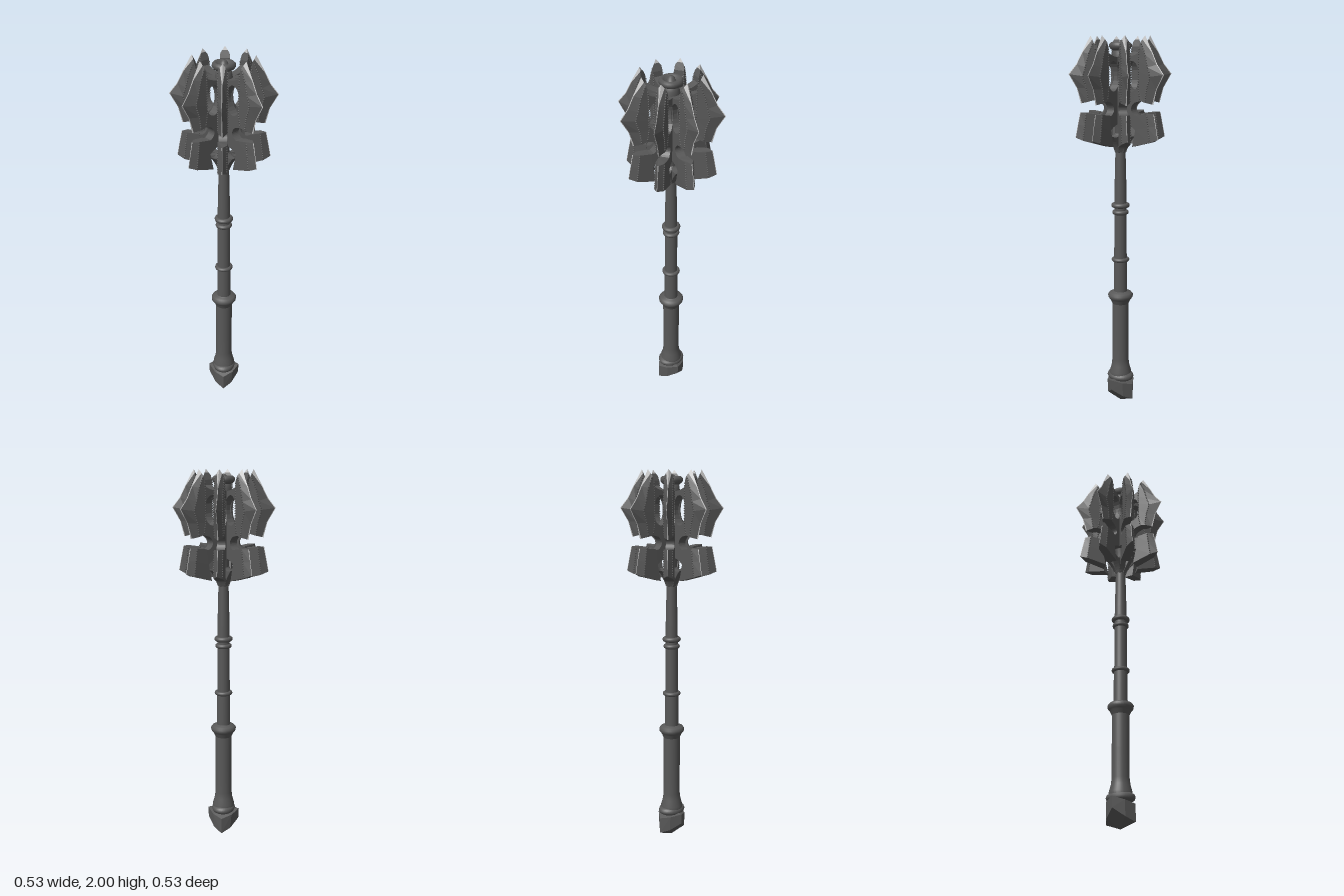
import * as THREE from 'three';
import { mergeGeometries } from 'three/addons/utils/BufferGeometryUtils.js';
import { ConvexGeometry } from 'three/addons/geometries/ConvexGeometry.js';

const FLANGES = 8;

// Each row is [inner, middle, outer] as [radius, height] pairs, listed top to bottom,
// followed by the share of the bevel that is polished edge
const UPPER_BLADE = [
  [[0.132, 1.945], [0.14, 1.968], [0.152, 2.0], 0.6],
  [[0.13, 1.88], [0.165, 1.91], [0.196, 1.92], 0.1],
  [[0.13, 1.83], [0.182, 1.845], [0.226, 1.86], 0.07],
  [[0.13, 1.79], [0.195, 1.80], [0.266, 1.81], 0.06],
  [[0.13, 1.74], [0.178, 1.74], [0.225, 1.74], 0.06],
  [[0.14, 1.68], [0.168, 1.672], [0.205, 1.662], 0.15],
];
const LOWER_BLADE = [
  [[0.122, 1.608], [0.18, 1.615], [0.21, 1.615], 0.1],
  [[0.112, 1.53], [0.188, 1.55], [0.222, 1.555], 0.06],
  [[0.092, 1.445], [0.198, 1.473], [0.235, 1.488], 0.06],
];

// Wedge blade lofted through seven-sided sections; the sharp edge is its own geometry
function bladeGeometries(rows, half) {
  const mid = half * 0.9;
  const rings = rows.map(([a, m, o, share]) => {
    const e = [0, 1].map((i) => o[i] + (m[i] - o[i]) * share);
    return [
      [...a, half], [...m, mid], [...e, mid * share], [...o, 0],
      [...e, -mid * share], [...m, -mid], [...a, -half],
    ];
  });
  const body = [], edge = [];
  const tri = (list, a, b, c) => list.push(...a, ...b, ...c);
  for (let k = 0; k < rings.length - 1; k++) {
    for (let i = 0; i < 7; i++) {
      const j = (i + 1) % 7;
      const list = i === 2 || i === 3 ? edge : body;
      tri(list, rings[k][i], rings[k + 1][i], rings[k + 1][j]);
      tri(list, rings[k][i], rings[k + 1][j], rings[k][j]);
    }
  }
  const top = rings[0], bottom = rings[rings.length - 1];
  for (const [a, b, c] of [[0, 1, 2], [0, 2, 4], [0, 4, 5], [0, 5, 6], [2, 3, 4]]) {
    const list = b === 3 ? edge : body;
    tri(list, top[a], top[b], top[c]);
    tri(list, bottom[a], bottom[c], bottom[b]);
  }
  return [body, edge].map((list) => {
    const g = new THREE.BufferGeometry();
    g.setAttribute('position', new THREE.Float32BufferAttribute(list, 3));
    g.computeVertexNormals();
    return g;
  });
}

// Beaded trim following one column of the blade rows on both faces
function beadGeometry(rows, column, z) {
  const path = new THREE.CatmullRomCurve3(rows.map((r) => new THREE.Vector3(...r[column], 0)));
  const count = Math.round(path.getLength() / 0.012);
  const beads = [];
  for (const p of path.getSpacedPoints(count).slice(1, -1)) {
    for (const s of [-1, 1]) {
      beads.push(new THREE.SphereGeometry(0.0045, 6, 4).translate(p.x, p.y, s * z));
    }
  }
  return mergeGeometries(beads);
}

// Bracket carrying both blades, with an oval window beside the core
function bracketGeometry() {
  const s = new THREE.Shape();
  s.moveTo(0.02, 1.56);
  s.quadraticCurveTo(0.08, 1.565, 0.12, 1.52);
  s.lineTo(0.145, 1.53);
  s.lineTo(0.145, 1.605);
  s.lineTo(0.105, 1.605);
  s.quadraticCurveTo(0.06, 1.635, 0.105, 1.67);
  s.lineTo(0.145, 1.68);
  s.lineTo(0.145, 1.93);
  s.quadraticCurveTo(0.11, 1.895, 0.02, 1.89);
  s.closePath();
  const hole = new THREE.Path();
  hole.absellipse(0.087, 1.8, 0.046, 0.075, 0, Math.PI * 2, true);
  s.holes.push(hole);
  return new THREE.ExtrudeGeometry(s, { depth: 0.044, bevelEnabled: false, curveSegments: 10 })
    .translate(0, 0, -0.022);
}

// Strut flaring out of the shaft below each flange
function strutGeometry() {
  const s = new THREE.Shape();
  s.moveTo(0.015, 1.40);
  s.lineTo(0.027, 1.41);
  s.quadraticCurveTo(0.042, 1.455, 0.08, 1.495);
  s.quadraticCurveTo(0.045, 1.48, 0.025, 1.51);
  s.lineTo(0.015, 1.51);
  s.closePath();
  return new THREE.ExtrudeGeometry(s, { depth: 0.03, bevelEnabled: false, curveSegments: 6 })
    .translate(0, 0, -0.015);
}

export function createModel() {
  const model = new THREE.Group();
  model.name = 'flangedMace';
  const iron = new THREE.MeshStandardMaterial({ color: 0x585858 });
  iron.name = 'dark iron';
  const steel = new THREE.MeshStandardMaterial({ color: 0xc4c4c4 });
  steel.name = 'polished steel';

  const add = (name, geometry, parent = model, material = iron) => {
    const mesh = new THREE.Mesh(geometry, material);
    mesh.name = name;
    parent.add(mesh);
    return mesh;
  };
  const turned = (name, points) => add(name,
    new THREE.LatheGeometry(points.map(([r, y]) => new THREE.Vector2(r, y)), 32));
  const ring = (name, y, radius, tube) => {
    const g = new THREE.TorusGeometry(radius, tube, 10, 32).rotateX(Math.PI / 2);
    return add(name, g.translate(0, y, 0));
  };

  // Handle
  turned('grip', [[0, 0.1], [0.05, 0.12], [0.06, 0.15], [0.059, 0.18], [0.049, 0.215],
    [0.045, 0.25], [0.045, 0.4], [0.045, 0.58]]);
  turned('gripCollar', [[0.044, 0.575], [0.054, 0.597], [0.06, 0.606], [0.067, 0.615],
    [0.068, 0.628], [0.06, 0.639], [0.044, 0.643], [0.03, 0.652]]);
  turned('shaft', [[0.037, 0.63], [0.036, 0.82], [0.034, 0.83], [0.033, 1.08],
    [0.032, 1.2], [0.027, 1.4], [0.027, 1.5]]);
  ring('lowerShaftRing', 0.826, 0.037, 0.011);
  ring('middleShaftRing', 1.087, 0.032, 0.012);
  ring('upperShaftRing', 1.125, 0.036, 0.013);

  // Pommel: a faceted block that narrows to a point
  const corners = [new THREE.Vector3(0, 0, 0)];
  for (const s of [-1, 1]) {
    corners.push(
      new THREE.Vector3(s * 0.087, 0.146, 0), new THREE.Vector3(s * 0.084, 0.09, 0),
      new THREE.Vector3(0, 0.115, s * 0.083), new THREE.Vector3(0, 0.028, s * 0.083));
    for (const t of [-1, 1]) {
      corners.push(new THREE.Vector3(s * 0.052, 0.13, t * 0.052),
        new THREE.Vector3(s * 0.046, 0.05, t * 0.052));
    }
  }
  add('pommel', new ConvexGeometry(corners));
  ring('pommelRing', 0.152, 0.043, 0.021).scale.z = 1.2;

  // Head core and cap
  turned('headCore', [[0.026, 1.48], [0.03, 1.54], [0.042, 1.58], [0.052, 1.63],
    [0.046, 1.69], [0.036, 1.74], [0.036, 1.86], [0.046, 1.88], [0.04, 1.91],
    [0.034, 1.94], [0, 1.945]]);
  turned('cap', [[0.034, 1.925], [0.05, 1.933], [0.058, 1.945], [0.057, 1.958],
    [0.048, 1.967], [0.036, 1.962], [0.026, 1.953], [0.02, 1.955], [0.018, 1.967],
    [0.01, 1.975], [0, 1.977]]);

  // Flanges around the head
  const bracket = bracketGeometry();
  const strut = strutGeometry();
  const [upper, upperEdge] = bladeGeometries(UPPER_BLADE, 0.025);
  const [lower, lowerEdge] = bladeGeometries(LOWER_BLADE, 0.025);
  const trim = mergeGeometries([
    beadGeometry(UPPER_BLADE, 0, 0.024), beadGeometry(UPPER_BLADE, 1, 0.0215),
    beadGeometry(LOWER_BLADE, 1, 0.0215),
  ]);
  for (let i = 0; i < FLANGES; i++) {
    const flange = new THREE.Group();
    flange.name = `flange${i + 1}`;
    flange.rotation.y = (i / FLANGES) * Math.PI * 2;
    add('bracket', bracket, flange);
    add('strut', strut, flange);
    add('upperBlade', upper, flange);
    add('upperCuttingEdge', upperEdge, flange, steel);
    add('lowerBlade', lower, flange);
    add('lowerCuttingEdge', lowerEdge, flange, steel);
    add('beadTrim', trim, flange);
    model.add(flange);
  }
  return model;
}
